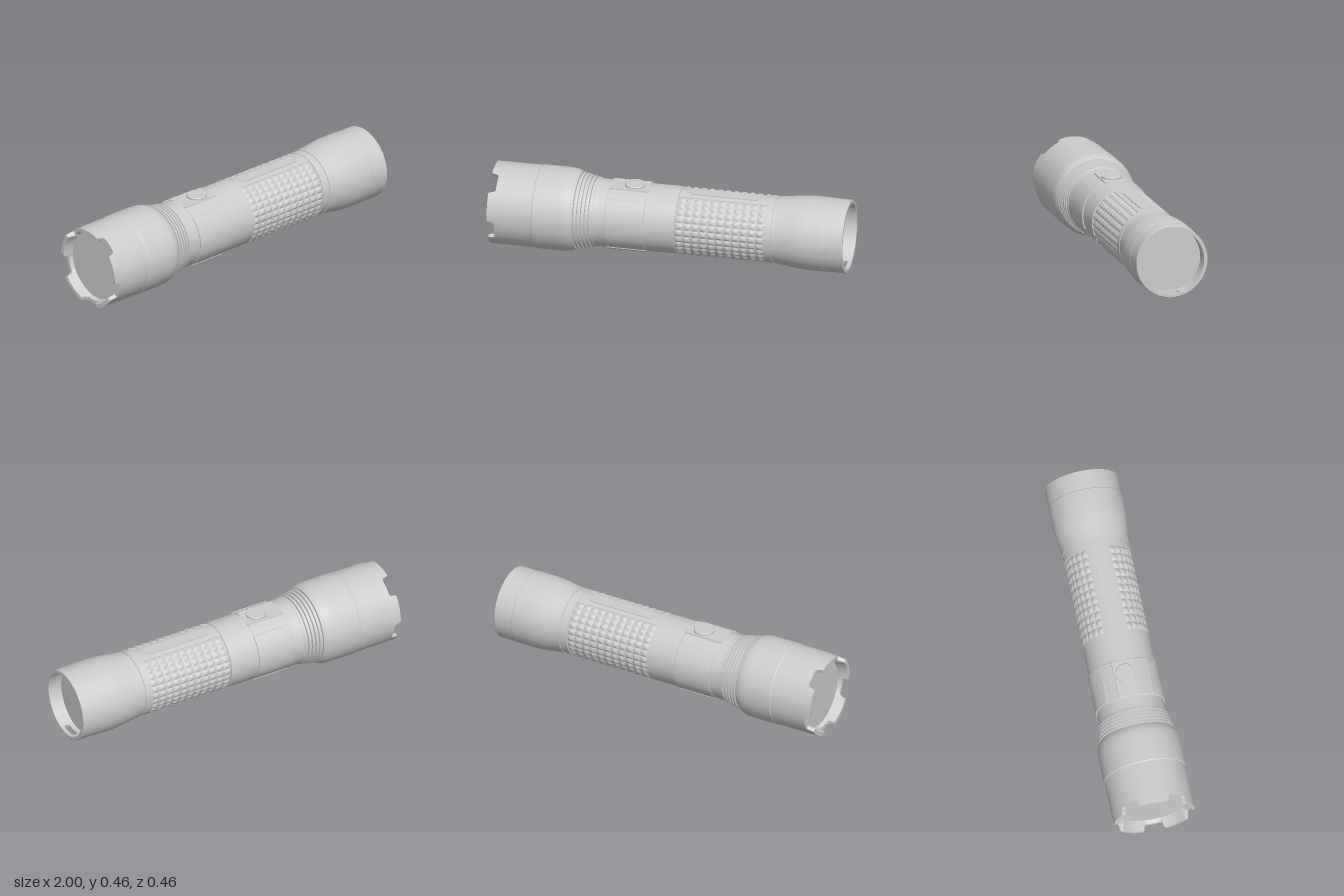
import * as THREE from 'three';
import { toCreasedNormals } from 'three/addons/utils/BufferGeometryUtils.js';

const AXIS = 0.233; // height of the long axis
const DEG = Math.PI / 180;
const material = new THREE.MeshStandardMaterial({ color: 0xcccccc });

const range = (a, b, n) => Array.from({ length: n + 1 }, (_, i) => a + (b - a) * i / n);
const full = range(0, Math.PI * 2, 72);

function add(group, name, geometry, crease = 0.5) {
  const mesh = new THREE.Mesh(toCreasedNormals(geometry, crease), material);
  mesh.name = name;
  group.add(mesh);
  return mesh;
}

// Sweeps a profile of [x, radius] points round the x axis; angle 0 is the top, 90 degrees is +z.
function turned(angles, profileAt) {
  const pos = [], index = [];
  let m = 0;
  for (const t of angles) {
    const profile = profileAt(t);
    m = profile.length;
    for (const [x, r] of profile) pos.push(x, AXIS + r * Math.cos(t), r * Math.sin(t));
  }
  for (let i = 0; i < angles.length - 1; i++) {
    for (let j = 0; j < m - 1; j++) {
      const a = i * m + j, b = a + m;
      index.push(a, b, a + 1, b, b + 1, a + 1);
    }
  }
  const g = new THREE.BufferGeometry();
  g.setAttribute('position', new THREE.Float32BufferAttribute(pos, 3));
  g.setIndex(index);
  g.computeVertexNormals();
  return g;
}

export function createModel() {
  const group = new THREE.Group();

  // Head with lens face, bezel step and shoulder
  add(group, 'head', turned(full, () => [
    [-0.94, 0], [-0.94, 0.228], [-0.75, 0.229], [-0.745, 0.232], [-0.6, 0.232],
    [-0.565, 0.23], [-0.54, 0.224], [-0.522, 0.213], [-0.522, 0.19],
  ]));

  // Scalloped crown: five rounded notches round the front rim
  const notch = [[-17, -1], [-15.5, -0.995], [-14.5, -0.982], [-13.5, -0.968], [-11.5, -0.96],
    [-6, -0.96], [0, -0.96], [6, -0.96], [11.5, -0.96], [13.5, -0.968], [14.5, -0.982],
    [15.5, -0.995], [17, -1], [23, -1], [30, -1], [36, -1], [43, -1], [49, -1], [55, -1]];
  const edge = new Map();
  for (let k = 0; k < 5; k++) for (const [a, x] of notch) edge.set((36 + 72 * k + a) * DEG, x);
  add(group, 'crown', turned([...edge.keys()], (t) => {
    const x = edge.get(t);
    return [[-0.935, 0.195], [x, 0.207], [x, 0.228], [-0.93, 0.228]];
  }), 0.7);

  // Ribbed neck behind the head
  const ribs = [[-0.522, 0.19]];
  for (let k = 0; k < 5; k++) {
    const x = -0.52 + k * 0.021, r = 0.213 - k * 0.0045;
    ribs.push([x, r - 0.01], [x + 0.006, r - 0.01], [x + 0.008, r], [x + 0.019, r - 0.002]);
  }
  ribs.push([-0.415, 0.19], [-0.39, 0.187], [-0.34, 0.187]);
  add(group, 'neck', turned(full, () => ribs));

  // Switch collar: flat on top, raised curved panels round the sides and bottom
  const collarAngles = [...range(-19, 19, 8), 20, ...range(22, 40, 4), ...range(41, 112, 14),
    ...range(113, 140, 5), ...range(141, 219, 14), ...range(220, 247, 5),
    ...range(248, 319, 14), ...range(320, 338, 4), 340, 341].map((a) => a * DEG);
  const collarRadius = (t) => {
    const a = Math.abs(THREE.MathUtils.euclideanModulo(t / DEG + 180, 360) - 180);
    if (a < 19.5) return 0.186 / Math.cos(t);
    return (a > 40.5 && a < 112.5) || a > 140.5 ? 0.195 : 0.1905;
  };
  add(group, 'switchCollar', turned(collarAngles, (t) => {
    const r = collarRadius(t);
    return [[-0.345, 0.18], [-0.345, r - 0.002], [-0.342, r], [-0.128, r], [-0.125, r - 0.002], [-0.125, 0.18]];
  }), 0.3);

  // Push button
  const button = add(group, 'button', new THREE.LatheGeometry(
    [[0.056, 0], [0.056, 0.016], [0.052, 0.02], [0, 0.02]].map((p) => new THREE.Vector2(...p)), 40));
  button.position.set(-0.21, AXIS + 0.179, 0);

  // Barrel with the recess for the grip and the joint groove
  add(group, 'barrel', turned(full, () => [
    [-0.13, 0.187], [0.048, 0.187], [0.05, 0.18], [0.55, 0.18], [0.552, 0.187],
    [0.59, 0.187], [0.591, 0.182], [0.6, 0.182], [0.601, 0.187],
  ]), 0.4);

  // Knurled grip: rows of rounded bumps, leaving the top strip clear
  const cols = 11, rows = 26, step = 6;
  const bump = (u) => Math.abs(Math.sin(Math.PI * u));
  add(group, 'knurledGrip', turned(range(20 * DEG, 340 * DEG, rows * step), (t) => {
    const v = (t / DEG - 20) / 320 * rows;
    return range(0, cols, cols * step).map((u) => [0.05 + 0.5 * u / cols, 0.1795 + 0.0095 * bump(u) * bump(v)]);
  }), 0.6);

  // Smooth strip along the top of the grip
  add(group, 'topStrip', turned([-20, ...range(-19.5, 19.5, 10), 20].map((a) => a * DEG), (t) => {
    const r = Math.abs(t) > 19.8 * DEG ? 0.179 : 0.183;
    return [[0.05, r], [0.55, r]];
  }), 0.4);

  // Long flat panel with rounded ends on the strip
  const outline = new THREE.Shape();
  outline.absarc(0.468, 0, 0.035, -Math.PI / 2, Math.PI / 2);
  outline.absarc(0.132, 0, 0.035, Math.PI / 2, Math.PI * 1.5);
  const panelGeometry = new THREE.ExtrudeGeometry(outline, { depth: 0.024, bevelEnabled: false, curveSegments: 10 });
  panelGeometry.rotateX(-Math.PI / 2);
  add(group, 'topPanel', panelGeometry).position.y = AXIS + 0.16;

  // Flared tail cap
  add(group, 'tailCap', turned(full, () => [
    [0.601, 0.187], [0.63, 0.189], [0.67, 0.194], [0.71, 0.2], [0.75, 0.204], [0.79, 0.206],
    [0.886, 0.206], [0.89, 0.204], [0.925, 0.204],
  ]), 0.4);
  add(group, 'tailFace', turned(full, () => [[0.92, 0.19], [0.92, 0]]));

  // Tail rim, split round a lanyard slot at the bottom
  const slotHalf = 0.28, mid = 0.963, ro = 0.204, ri = 0.184;
  const rimAngles = [...range(0, Math.PI - slotHalf, 30), ...range(Math.PI - slotHalf, Math.PI + slotHalf, 20).slice(1),
    ...range(Math.PI + slotHalf, Math.PI * 2, 30).slice(1)];
  const gap = (t) => {
    const d = slotHalf - Math.abs(t - Math.PI);
    if (d <= 0) return 0;
    const k = Math.min(1, d / 0.08);
    return 0.016 * Math.sqrt(1 - (1 - k) ** 2);
  };
  add(group, 'tailRimInner', turned(rimAngles, (t) => {
    const x = mid - gap(t);
    return [[0.92, ro], [x, ro], [x, ri], [0.92, ri]];
  }), 0.7);
  add(group, 'tailRimOuter', turned(rimAngles, (t) => {
    const x = mid + gap(t);
    return [[x, ri], [x, ro], [0.997, ro], [1, ro - 0.003], [1, ri], [x, ri]];
  }), 0.7);

  return group;
}
